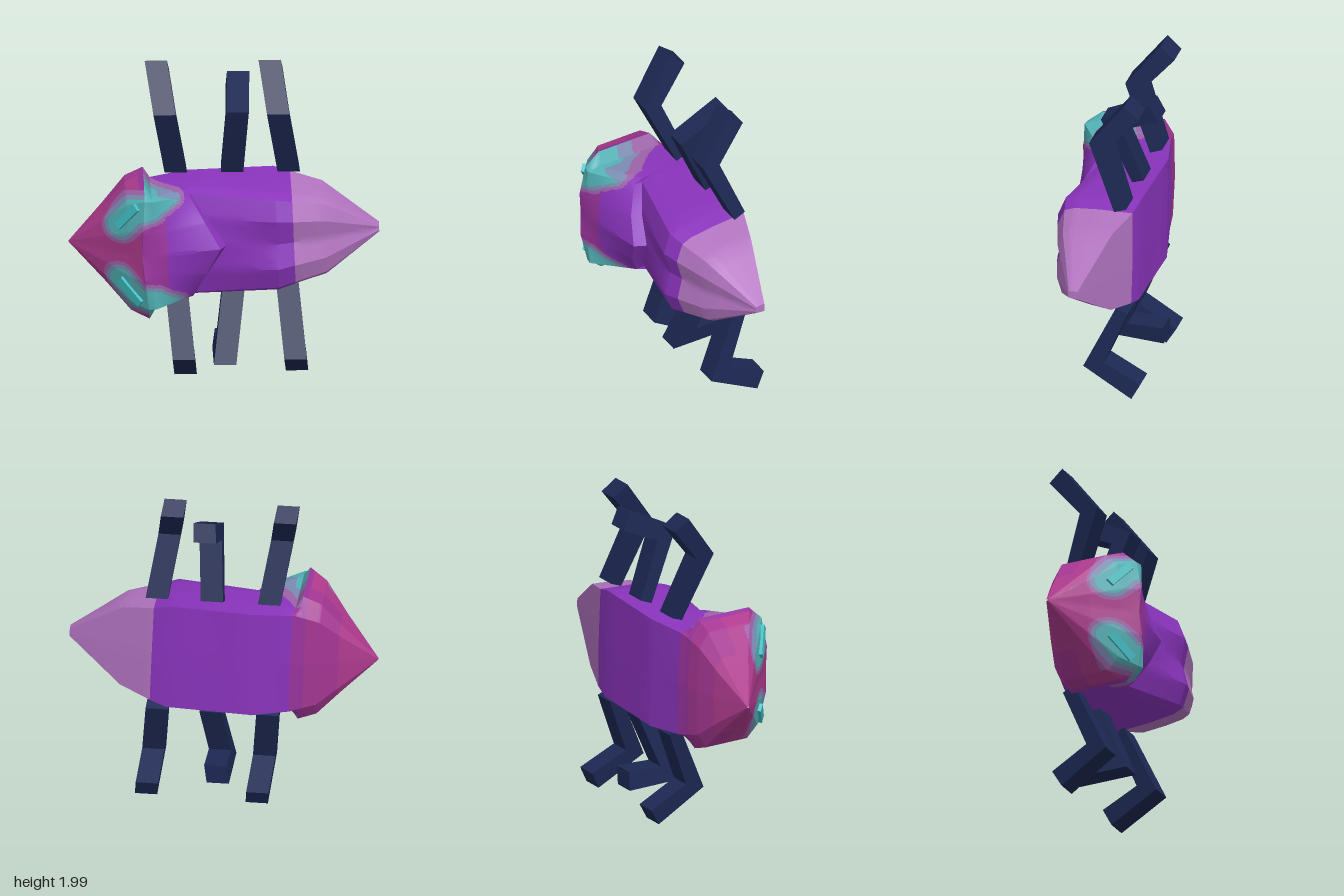
import * as THREE from 'three';
import { toCreasedNormals } from 'three/addons/utils/BufferGeometryUtils.js';

const mat = (name, color) => {
  const m = new THREE.MeshStandardMaterial({ color });
  m.name = name;
  return m;
};

const skin = [
  mat('magenta', 0xaf3b8e), mat('plum', 0x9a349e), mat('purple', 0x8a34bc), mat('lavender', 0xb274c0),
  mat('teal', 0x52b2b6), mat('greyBlue', 0x7a8cb2), mat('mauve', 0x9c62a8), mat('orchid', 0xa53793),
];
const navy = mat('navy', 0x1d2853);
const aqua = mat('aqua', 0x3fc0c4);

// Half outlines from back centre to front centre: share of half height, share of depth
const head = { wide: [0, 0.75, 1, 1, 0.8, 0.36, 0], deep: [0, 0.02, 0.15, 0.78, 0.94, 1, 0.98] };
const shoulder = { wide: [0, 0.95, 1, 1, 0.97, 0.38, 0], deep: [0, 0.02, 0.12, 0.85, 0.98, 1, 1] };
const shield = { wide: [0, 1, 1, 0.97, 0.9, 0.46, 0], deep: [0, 0, 0.35, 0.67, 0.79, 0.93, 1] };
const abdomen = { wide: [0, 1, 0.95, 0.88, 0.79, 0.43, 0], deep: [0, 0.01, 0.45, 0.78, 0.91, 1, 0.93] };

// Sections along the body: outline, x, half height, back z, front z, forward reach of the front centre
const sections = [
  [head, -0.93, 0.004, -0.065, -0.055, 0],
  [head, -0.72, 0.22, -0.15, 0.13, 0],
  [head, -0.58, 0.375, -0.2, 0.265, 0],
  [head, -0.47, 0.42, -0.22, 0.35, -0.03],
  [shoulder, -0.43, 0.345, -0.23, 0.335, -0.03],
  [shield, -0.2, 0.345, -0.28, 0.25, 0.17],
  [shield, -0.2, 0.343, -0.28, 0.18, 0.205],
  [abdomen, 0.31, 0.345, -0.28, 0.24, 0],
  [abdomen, 0.41, 0.315, -0.265, 0.21, 0],
  [abdomen, 0.6, 0.265, -0.2, 0.145, 0],
  [abdomen, 0.925, 0.026, -0.09, -0.03, 0],
  [abdomen, 0.925, 0, -0.06, -0.06, 0],
];

// Full ring of twelve points for a section
function ringPoints([outline, x, h, back, front, reach]) {
  const side = outline.wide.map((w, i) => new THREE.Vector3(
    x + (i > 3 ? reach * Math.max(0, 1 - w / 0.9) : 0), h * w, back + (front - back) * outline.deep[i]));
  const other = side.slice(1, -1).reverse().map((p) => new THREE.Vector3(p.x, -p.y, p.z));
  return [...side, ...other];
}

// Centre line of the eye patches
const eyeLine = [[-0.63, 0.165], [-0.54, 0.27], [-0.43, 0.29], [-0.28, 0.31]];

function eyeDistance(p) {
  const y = Math.abs(p.y);
  let best = 9;
  for (let k = 0; k < 3; k++) {
    const [ax, ay] = eyeLine[k], [bx, by] = eyeLine[k + 1];
    const ux = bx - ax, uy = by - ay;
    const t = THREE.MathUtils.clamp(((p.x - ax) * ux + (y - ay) * uy) / (ux * ux + uy * uy), 0, 1);
    const d = Math.hypot(p.x - ax - t * ux, y - ay - t * uy) + (k === 2 ? t * 0.06 : 0);
    best = Math.min(best, d);
  }
  const behind = Math.max(0, 0.12 - p.z);
  return best + behind * (p.x < -0.47 ? 1 : 0.2) + (p.z < -0.17 ? 1 : 0);
}

// Skin colour at a point of the body
function skinIndex(p, ring) {
  if (ring >= 8) return 3;
  if (ring >= 5) return 2;
  // rear face of the crest fades from front to back
  if (ring === 3 && Math.abs(p.y) > 0.3 && p.z > -0.17) {
    if (p.z > 0.1) return 4;
    return p.z > 0 ? 5 : 6;
  }
  const d = eyeDistance(p);
  if (d < 0.064) return 4;
  if (d < 0.086) return 5;
  if (d < 0.108) return 6;
  if (p.x < -0.5) return p.z < 0 && p.x > -0.7 ? 7 : 0;
  return p.x < (p.z > 0 ? -0.345 : -0.42) ? 1 : 2;
}

// Body skin lofted through the sections, grouped by colour
function bodyGeometry() {
  const rings = sections.map(ringPoints);
  const buckets = skin.map(() => []);
  const tri = new THREE.Triangle();
  const mid = new THREE.Vector3();
  const add = (ring, ...points) => {
    tri.set(...points);
    if (tri.getArea() < 1e-9) return;
    const bucket = buckets[skinIndex(tri.getMidpoint(mid), ring)];
    for (const p of points) bucket.push(p.x, p.y, p.z);
  };
  for (let i = 0; i < rings.length - 1; i++) {
    const n = i < 5 ? 20 : 4;
    for (let j = 0; j < 12; j++) {
      const k = (j + 1) % 12;
      const at = (u, v) => rings[i][j].clone().lerp(rings[i][k], u / n)
        .lerp(rings[i + 1][j].clone().lerp(rings[i + 1][k], u / n), v / n);
      for (let u = 0; u < n; u++) {
        for (let v = 0; v < n; v++) {
          const a = at(u, v), b = at(u + 1, v), c = at(u + 1, v + 1), d = at(u, v + 1);
          add(i, a, b, c);
          add(i, a, c, d);
        }
      }
    }
  }
  const geo = new THREE.BufferGeometry();
  geo.setAttribute('position', new THREE.Float32BufferAttribute(buckets.flat(), 3));
  let start = 0;
  buckets.forEach((b, m) => {
    geo.addGroup(start, b.length / 3, m);
    start += b.length / 3;
  });
  return toCreasedNormals(geo, 0.45);
}

// Bent leg: mitred strip in the z-y plane, thicker to the foot, extruded across x and slanted
function legGeometry(path, x0, x1) {
  const [a, b, c] = path.map(([z, y]) => new THREE.Vector2(z, y));
  const normal = (p, q) => {
    const d = q.clone().sub(p).normalize();
    return new THREE.Vector2(-d.y, d.x);
  };
  const n1 = normal(a, b), n2 = normal(b, c);
  const miter = n1.clone().add(n2).divideScalar(1 + n1.dot(n2));
  const offsets = [[a, n1, 0.04], [b, miter, 0.05], [c, n2, 0.058]];
  const edge = (s) => offsets.map(([p, n, half]) => p.clone().addScaledVector(n, s * half));
  const width = 0.134;
  const geo = new THREE.ExtrudeGeometry(new THREE.Shape([...edge(1), ...edge(-1).reverse()]),
    { depth: width, bevelEnabled: false });
  geo.rotateY(-Math.PI / 2).translate(width / 2, 0, 0);
  const pos = geo.attributes.position;
  for (let i = 0; i < pos.count; i++) {
    const t = (pos.getY(i) - a.y) / (c.y - a.y);
    pos.setX(i, pos.getX(i) + x0 + (x1 - x0) * t);
  }
  geo.computeVertexNormals();
  return geo;
}

export function createModel() {
  const model = new THREE.Group();
  model.name = 'beetle';

  // Body, slightly tilted
  const body = new THREE.Group();
  body.name = 'body';
  body.position.y = 0.95;
  body.rotation.z = 0.04;
  model.add(body);
  const shell = new THREE.Mesh(bodyGeometry(), skin);
  shell.name = 'shell';
  body.add(shell);

  // Raised eye slits
  for (const s of [1, -1]) {
    const from = new THREE.Vector3(-0.63, 0.165 * s, 0.208);
    const to = new THREE.Vector3(-0.515, 0.3 * s, 0.292);
    const dir = to.clone().sub(from);
    const length = dir.length();
    dir.normalize();
    const out = new THREE.Vector3(-0.9, 0.2 * s, 1);
    out.addScaledVector(dir, -out.dot(dir)).normalize();
    const eye = new THREE.Mesh(new THREE.BoxGeometry(length, 0.05, 0.03), aqua);
    eye.name = s > 0 ? 'upperEye' : 'lowerEye';
    eye.quaternion.setFromRotationMatrix(new THREE.Matrix4().makeBasis(dir, out.clone().cross(dir), out));
    eye.position.copy(from).add(to).multiplyScalar(0.5).addScaledVector(out, 0.006);
    body.add(eye);
  }

  // Legs: name, root x, foot x, foot z and y
  const upper = [
    ['upperFrontLeg', -0.29, -0.4, -0.235, 1.96],
    ['upperMiddleLeg', 0.05, 0.085, -0.315, 1.845],
    ['upperRearLeg', 0.385, 0.28, -0.235, 1.96],
  ];
  const lower = [
    ['lowerFrontLeg', -0.285, -0.23, -0.315, 0.055],
    ['lowerMiddleLeg', 0.06, 0.01, -0.345, 0.215],
    ['lowerRearLeg', 0.38, 0.435, -0.315, 0.075],
  ];
  const addLegs = (legs, root, knee) => {
    for (const [name, x0, x1, z, y] of legs) {
      const leg = new THREE.Mesh(legGeometry([root, knee, [z, y]], x0, x1), navy);
      leg.name = name;
      model.add(leg);
    }
  };
  addLegs(upper, [-0.2, 1.32], [-0.04, 1.71]);
  addLegs(lower, [-0.21, 0.6], [-0.045, 0.21]);
  return model;
}
